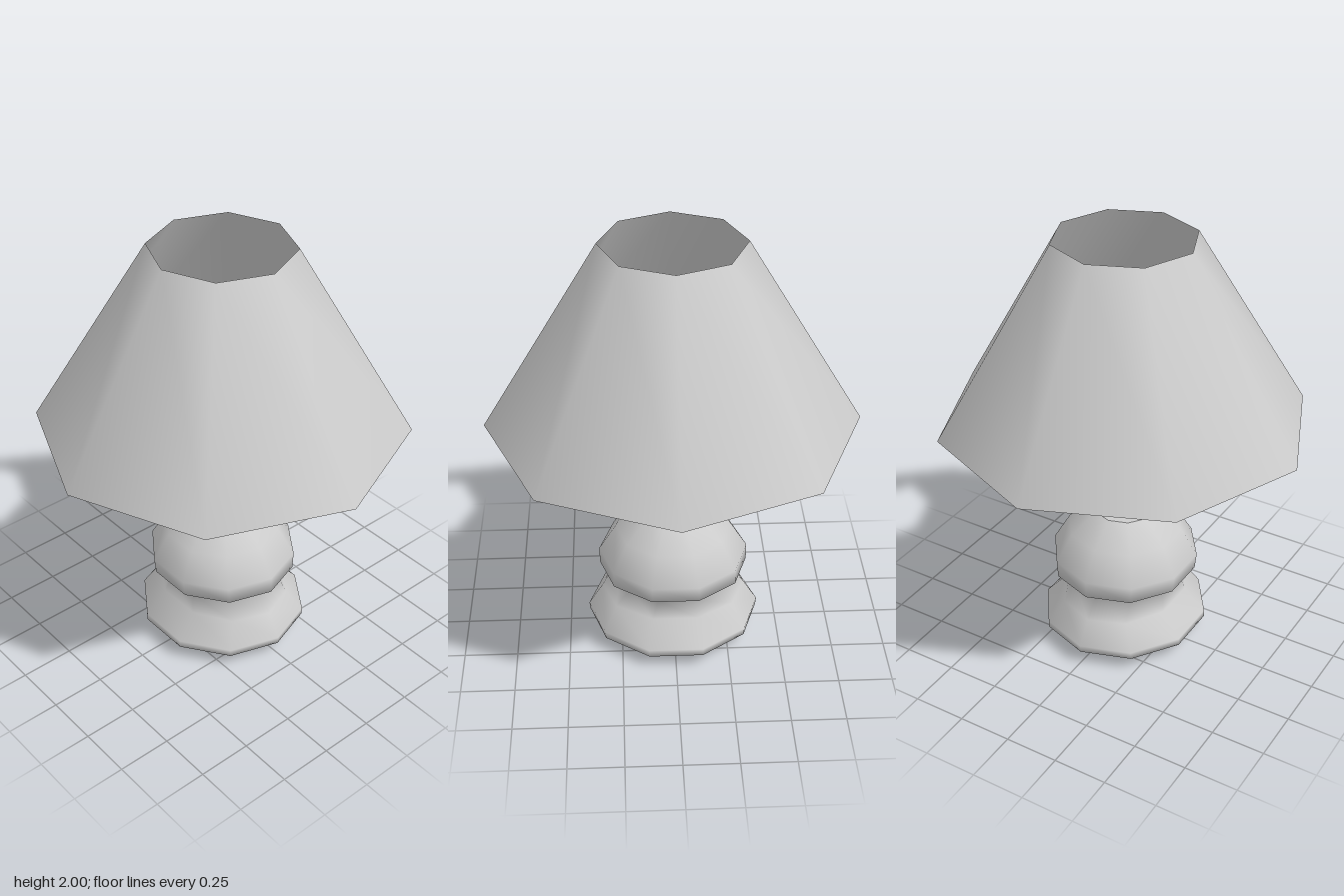
import * as THREE from 'three';
import { mergeVertices } from 'three/addons/utils/BufferGeometryUtils.js';

// Turned solid from [radius, y, depthRadius] rows, smooth shaded
function turned(rows, sides) {
  const geo = new THREE.LatheGeometry(rows.map(([r, y]) => new THREE.Vector2(r, y)), sides);
  const pos = geo.attributes.position;
  // the base is slightly deeper than wide
  for (let i = 0; i < pos.count; i++) {
    const [r, , depth = r] = rows[i % rows.length];
    if (r > 0) pos.setZ(i, pos.getZ(i) * depth / r);
  }
  geo.deleteAttribute('uv');
  geo.deleteAttribute('normal');
  const merged = mergeVertices(geo, 1e-5);
  merged.computeVertexNormals();
  return merged;
}

export function createModel() {
  const lamp = new THREE.Group();
  lamp.name = 'tableLamp';
  const grey = new THREE.MeshStandardMaterial({ color: 0xcccccc, side: THREE.DoubleSide });
  grey.name = 'plainGrey';

  const add = (name, geometry) => {
    const mesh = new THREE.Mesh(geometry, grey);
    mesh.name = name;
    lamp.add(mesh);
    return mesh;
  };

  // Squat foot, waist and lower bulge
  add('base', turned([
    [0, 0], [0.14, 0.005], [0.27, 0.02, 0.28],
    [0.388, 0.065, 0.405], [0.388, 0.1, 0.408],
    [0.285, 0.21, 0.34], [0.265, 0.3, 0.255],
    [0.335, 0.35, 0.35], [0.345, 0.43, 0.35],
    [0.27, 0.56], [0.15, 0.66],
  ], 10));

  // Flat top of the base
  const cap = add('baseTop', new THREE.CircleGeometry(0.15, 10, Math.PI / 2));
  cap.rotation.x = -Math.PI / 2;
  cap.position.y = 0.66;

  // Neck opening into a round bowl with an open rim
  add('bowl', turned([
    [0.1, 0.66], [0.1, 0.745], [0.155, 0.77], [0.265, 0.83],
    [0.35, 0.91], [0.39, 0.99], [0.335, 1.13], [0.285, 1.24], [0.22, 1.33],
  ], 10));

  // Open eight-sided shade
  add('shade', turned([[0.845, 1.13], [0.32, 2]], 8));

  return lamp;
}
